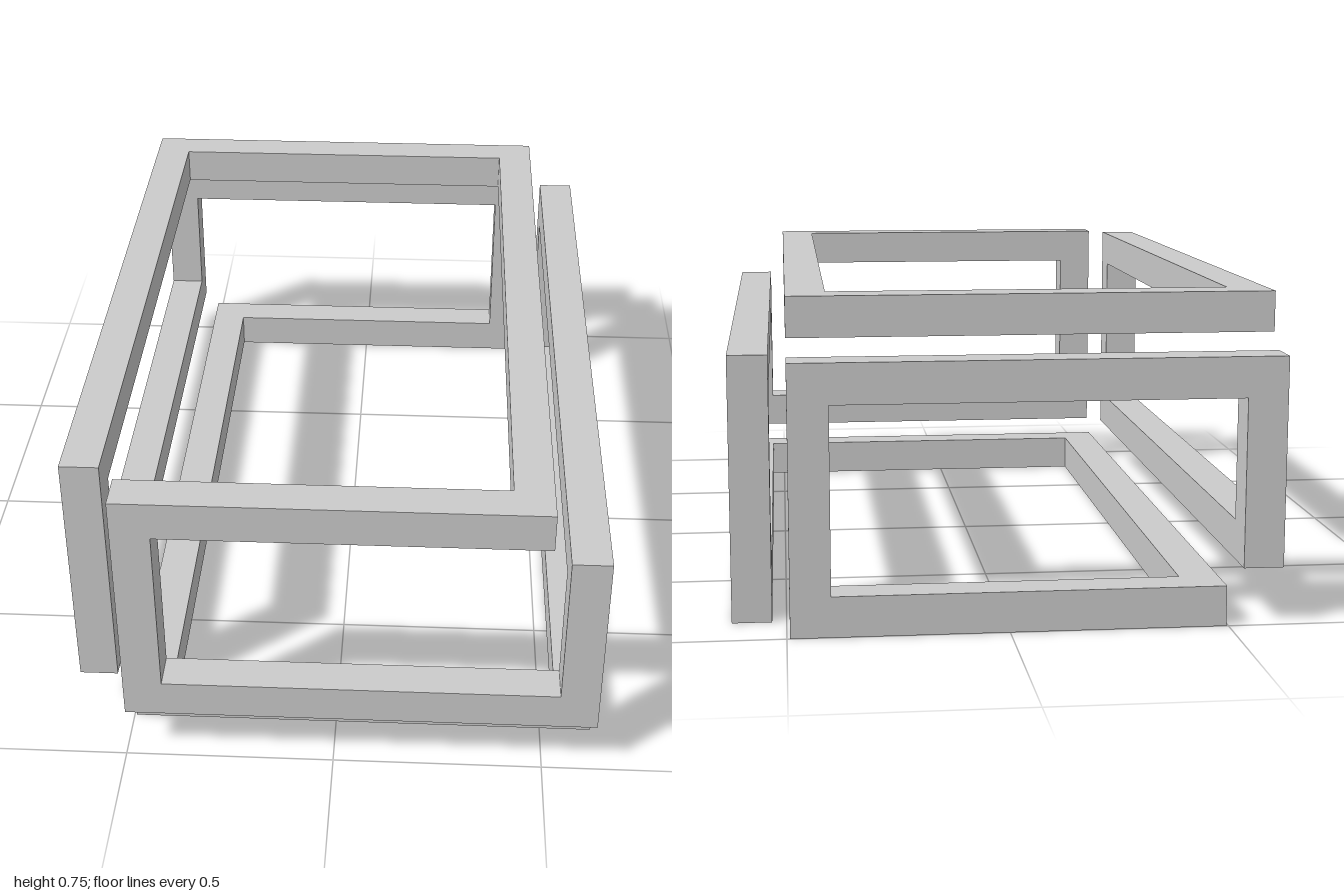
import * as THREE from 'three';

// Four slots per axis that a bar can lie in: [low, high]
const SLOTS = [
  [[-0.625, -0.533], [-0.495, -0.403], [0.401, 0.493], [0.533, 0.625]], // x
  [[0, 0.094], [0.134, 0.227], [0.525, 0.619], [0.656, 0.75]],          // y
  [[-1, -0.91], [-0.867, -0.777], [0.775, 0.866], [0.908, 1]],          // z
];

// One closed loop of square bars: each entry is a bar and the corner (x, y, z slot) it ends in
const LOOP = [
  ['topFrontRail', 2, 3, 3], ['topRightRail', 2, 3, 1],
  ['topBackRail', 0, 3, 1], ['topLeftRail', 0, 3, 2],
  ['leftFrontPost', 0, 1, 2], ['leftBottomRail', 0, 1, 0],
  ['leftBackPost', 0, 2, 0], ['backTopRail', 2, 2, 0],
  ['backRightPost', 2, 0, 0], ['bottomBackRail', 1, 0, 0],
  ['bottomLeftRail', 1, 0, 2], ['bottomFrontRail', 3, 0, 2],
  ['bottomRightRail', 3, 0, 1], ['rightBackPost', 3, 2, 1],
  ['rightTopRail', 3, 2, 3], ['rightFrontPost', 3, 1, 3],
  ['frontBottomRail', 1, 1, 3], ['frontLeftPost', 1, 3, 3],
];

// A bar starts beside its first corner block and includes its last one
function makeBar(name, from, to, material) {
  const size = [], centre = [];
  for (let axis = 0; axis < 3; axis++) {
    const a = SLOTS[axis][from[axis]], b = SLOTS[axis][to[axis]];
    let [low, high] = b;
    if (to[axis] > from[axis]) low = a[1];
    if (to[axis] < from[axis]) high = a[0];
    size.push(high - low);
    centre.push((low + high) / 2);
  }
  const bar = new THREE.Mesh(new THREE.BoxGeometry(...size), material);
  bar.position.set(...centre);
  bar.name = name;
  return bar;
}

export function createModel() {
  const model = new THREE.Group();
  model.name = 'loopedBoxFrame';
  const material = new THREE.MeshStandardMaterial({ color: 0xcccccc });
  LOOP.forEach(([name, ...to], i) => {
    const from = LOOP[(i + LOOP.length - 1) % LOOP.length].slice(1);
    model.add(makeBar(name, from, to, material));
  });
  return model;
}
